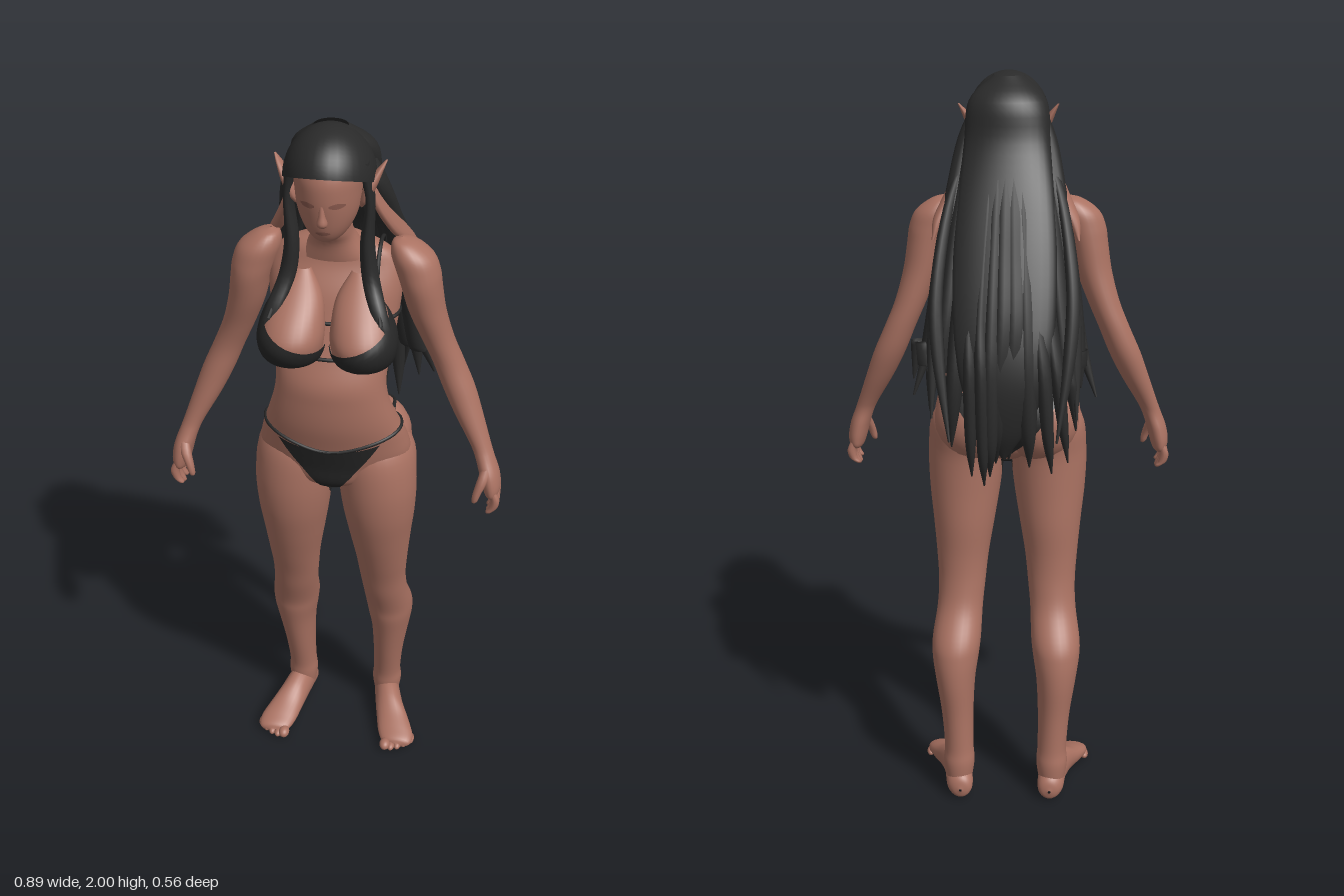
import * as THREE from 'three';

const skin = new THREE.MeshStandardMaterial({ color: 0xaa7262 });
skin.name = 'skin';
const hair = new THREE.MeshStandardMaterial({ color: 0x2a2a2a, side: THREE.DoubleSide });
hair.name = 'hair';
const cloth = new THREE.MeshStandardMaterial({ color: 0x262626, side: THREE.DoubleSide });
cloth.name = 'cloth';
const shade = new THREE.MeshStandardMaterial({ color: 0x8a5a4e, side: THREE.DoubleSide });
shade.name = 'faceDetail';

const V = (x, y, z) => new THREE.Vector3(x, y, z);

function gridGeometry(pos, rows, cols, wrap) {
  const index = [];
  for (let i = 0; i < rows - 1; i++) {
    for (let j = 0; j < (wrap ? cols : cols - 1); j++) {
      const a = i * cols + j, d = i * cols + (j + 1) % cols;
      index.push(a, a + cols, d + cols, a, d + cols, d);
    }
  }
  const g = new THREE.BufferGeometry();
  g.setAttribute('position', new THREE.Float32BufferAttribute(pos, 3));
  g.setIndex(index);
  g.computeVertexNormals();
  return g;
}

// smooth skin over level rings [x, y, z, rx, rz], listed from top to bottom; s mirrors in x
function loft(name, mat, rings, s = 1, sides = 24, steps = 5) {
  const centre = new THREE.CatmullRomCurve3(rings.map(r => V(r[0] * s, r[1], r[2])), false, 'catmullrom');
  const radius = new THREE.CatmullRomCurve3(rings.map(r => V(r[3], r[4], 0)), false, 'catmullrom');
  const n = (rings.length - 1) * steps, pos = [];
  for (let i = 0; i <= n; i++) {
    const c = centre.getPoint(i / n), r = radius.getPoint(i / n);
    for (let j = 0; j < sides; j++) {
      const a = j / sides * Math.PI * 2;
      pos.push(c.x + Math.max(r.x, 0.001) * Math.sin(a), c.y, c.z + Math.max(r.y, 0.001) * Math.cos(a));
    }
  }
  const m = new THREE.Mesh(gridGeometry(pos, n + 1, sides, true), mat);
  m.name = name;
  return m;
}

function tube(name, mat, pts, r, closed = false) {
  const m = new THREE.Mesh(new THREE.TubeGeometry(
    new THREE.CatmullRomCurve3(pts, closed), pts.length * 4, r, 8, closed), mat);
  m.name = name;
  return m;
}

function ball(name, mat, p, size) {
  const m = new THREE.Mesh(new THREE.SphereGeometry(1, 24, 16), mat);
  m.position.set(...p);
  m.scale.set(...size);
  m.name = name;
  m.updateMatrixWorld();
  return m;
}

// point where a line from one point towards another meets the body, lifted a little
const caster = new THREE.Raycaster();
function touch(from, to, bodies, lift) {
  const dir = to.clone().sub(from).normalize();
  caster.set(from, dir);
  const hit = caster.intersectObjects(bodies, false)[0];
  return (hit ? hit.point.clone() : to.clone()).addScaledVector(dir, -lift);
}

// thin sheet laid on the body; line(u, v) gives [from, to]
function drape(name, mat, bodies, line, lift = 0.005, n = 18) {
  const pos = [];
  for (let i = 0; i <= n; i++) for (let j = 0; j <= n; j++) {
    const [from, to] = line(j / n, i / n);
    pos.push(...touch(from, to, bodies, lift).toArray());
  }
  const m = new THREE.Mesh(gridGeometry(pos, n + 1, n + 1, false), mat);
  m.name = name;
  return m;
}

export function createModel() {
  const model = new THREE.Group();
  model.name = 'figure';
  const add = m => { model.add(m); return m; };

  // trunk, neck and head
  const torso = add(loft('torso', skin, [
    [0, 1.705, .055, .003, .003], [0, 1.695, .055, .06, .04], [0, 1.67, .055, .125, .054],
    [0, 1.63, .05, .16, .07], [0, 1.57, .06, .166, .088], [0, 1.5, .07, .16, .1],
    [0, 1.42, .098, .15, .099], [0, 1.35, .13, .14, .092], [0, 1.29, .135, .146, .087],
    [0, 1.22, .114, .167, .1], [0, 1.15, .083, .19, .112], [0, 1.08, .063, .198, .112],
    [0, 1.02, .06, .15, .1], [0, .985, .055, .05, .06], [0, .975, .055, .004, .004]], 1, 40));
  add(loft('neck', skin, [[0, 1.82, .125, .048, .052], [0, 1.74, .105, .047, .056],
    [0, 1.7, .082, .058, .056], [0, 1.65, .065, .09, .06]]));
  const head = add(loft('head', skin, [
    [0, 1.985, .14, .01, .01], [0, 1.96, .14, .06, .08], [0, 1.91, .147, .08, .104],
    [0, 1.86, .152, .078, .102], [0, 1.81, .154, .071, .092], [0, 1.77, .16, .054, .074],
    [0, 1.745, .173, .03, .042], [0, 1.735, .18, .004, .006]], 1, 32));
  add(loft('nose', skin, [[0, 1.86, .246, .005, .005], [0, 1.825, .246, .008, .011],
    [0, 1.802, .244, .013, .016], [0, 1.79, .238, .004, .005]], 1, 12));
  const patch = (name, x, y, w, h) => add(drape(name, shade, [head], (u, v) => {
    const px = x + (u - .5) * w, py = y + (.5 - v) * h * Math.sin(Math.PI * (.1 + .8 * u));
    return [V(px, py, 1), V(px, py, .2)];
  }, .002, 8));
  patch('lips', 0, 1.775, .034, .011);

  const hips = [torso];
  for (const s of [1, -1]) {
    const side = s > 0 ? 'left' : 'right';
    // face and pointed ear
    patch(side + 'Eye', s * .034, 1.847, .036, .014);
    add(loft(side + 'Ear', skin, [[.13, 1.918, .125, .002, .003], [.116, 1.897, .137, .008, .017],
      [.098, 1.865, .147, .014, .026], [.084, 1.83, .15, .012, .02], [.076, 1.81, .152, .003, .004]], s, 14));

    // arm and hand
    add(loft(side + 'Arm', skin, [
      [.16, 1.696, .055, .002, .002], [.168, 1.685, .055, .03, .036], [.187, 1.655, .057, .052, .056],
      [.202, 1.615, .058, .055, .061], [.213, 1.57, .057, .051, .062], [.228, 1.5, .049, .047, .056],
      [.255, 1.42, .036, .042, .048], [.285, 1.35, .03, .041, .044], [.315, 1.28, .035, .042, .044],
      [.345, 1.21, .048, .037, .039], [.38, 1.135, .066, .028, .031], [.395, 1.1, .075, .026, .033],
      [.409, 1.06, .082, .027, .045], [.418, 1.02, .084, .025, .049], [.42, .995, .084, .017, .042],
      [.42, .985, .084, .002, .01]], s));
    for (let i = 0; i < 4; i++) {
      const z = .05 + i * .023, tip = .94 + Math.abs(i - 1.7) * .008;
      add(loft(side + 'Finger', skin, [[.421, 1.02, z, .008, .008], [.432, .99, z, .012, .012],
        [.428, .965, z, .011, .011], [.417, tip, z, .008, .009], [.414, tip - .006, z, .001, .001]], s, 10, 3));
    }
    add(loft(side + 'Thumb', skin, [[.406, 1.09, .095, .012, .014], [.397, 1.055, .122, .014, .016],
      [.385, 1.02, .135, .011, .012], [.379, .995, .138, .008, .009], [.377, .988, .138, .001, .001]], s, 10, 3));

    // leg
    hips.push(add(loft(side + 'Leg', skin, [
      [.1, 1.17, .065, .04, .05], [.104, 1.1, .05, .1, .11], [.113, 1, .06, .105, .11],
      [.117, .9, .055, .099, .105], [.12, .8, .04, .086, .093], [.124, .7, .024, .073, .075],
      [.126, .62, .006, .066, .064], [.131, .55, -.015, .064, .063], [.139, .47, -.055, .068, .074],
      [.142, .42, -.068, .065, .077], [.142, .35, -.08, .055, .071], [.137, .25, -.09, .045, .057],
      [.133, .15, -.103, .041, .046], [.133, .1, -.108, .044, .047], [.133, .04, -.11, .036, .042]], s, 28)));
    hips.push(add(ball(side + 'Buttock', skin, [s * .09, 1.095, .006], [.106, .112, .093])));

    // foot, lofted from toes to heel and laid down
    const foot = add(loft(side + 'Foot', skin, [
      [.19, .108, -.018, .01, .005], [.19, .098, -.02, .042, .017], [.184, .065, -.026, .053, .025],
      [.17, .02, -.036, .05, .034], [.152, -.03, -.05, .043, .048], [.137, -.09, -.055, .039, .054],
      [.13, -.14, -.04, .037, .039], [.127, -.16, -.034, .025, .028], [.127, -.168, -.032, .004, .004]], s));
    foot.rotation.x = Math.PI / 2;
    for (let i = 0; i < 5; i++) {
      const r = i ? .0115 : .016;
      add(ball(side + 'Toe', skin, [s * (.157 + i * .0185), r + .002, .108 - i * i * .0025], [r, r, .021]));
    }

    // bust and top
    const bust = add(loft(side + 'Breast', skin, [
      [.07, 1.63, .12, .02, .015], [.076, 1.575, .15, .058, .05], [.084, 1.52, .175, .076, .08],
      [.088, 1.475, .187, .08, .09], [.088, 1.43, .18, .07, .077], [.088, 1.408, .165, .042, .045],
      [.088, 1.4, .16, .004, .004]], s, 28));
    const c = V(s * .088, 1.475, .165);
    add(drape(side + 'Cup', cloth, [bust], (u, v) => {
      const az = s * (-1.3 + 2.85 * u), el = -1.35 + v * (1.2 + 1.3 * u * u);
      const d = V(Math.sin(az) * Math.cos(el), Math.sin(el), Math.cos(az) * Math.cos(el));
      return [c.clone().addScaledVector(d, .5), c];
    }));
    add(tube(side + 'Strap', cloth, [V(s * .135, 1.54, .225), V(s * .12, 1.59, .175), V(s * .112, 1.64, .12),
      V(s * .112, 1.684, .07), V(s * .112, 1.672, .01), V(s * .11, 1.6, -.018), V(s * .105, 1.505, -.009)], .005));

    // lock falling over the chest, and the pale underside of the side hair
    add(loft(side + 'FrontLock', hair, [[.082, 1.93, .17, .014, .028], [.096, 1.83, .15, .011, .03],
      [.09, 1.72, .148, .017, .029], [.1, 1.63, .155, .021, .023], [.125, 1.56, .195, .021, .018],
      [.143, 1.5, .207, .018, .016], [.152, 1.43, .19, .002, .002]], s, 14));
    add(loft(side + 'HairUnderside', skin, [[.088, 1.86, .11, .006, .012], [.108, 1.79, .075, .014, .04],
      [.14, 1.71, .02, .018, .045], [.17, 1.65, -.03, .016, .03], [.185, 1.6, -.07, .003, .004]], s, 14));
  }

  // cords around chest and hips
  const cord = (name, bodies, height, z) => {
    const pts = [];
    for (let i = 0; i < 32; i++) {
      const a = i / 32 * Math.PI * 2, y = height(a);
      pts.push(touch(V(Math.sin(a), y, z + Math.cos(a)), V(0, y, z), bodies, .001));
    }
    add(tube(name, cloth, pts, .005, true));
  };
  cord('upperBand', [torso], () => 1.505, .07);
  cord('lowerBand', [torso], () => 1.42, .09);
  cord('hipCord', hips, a => (Math.cos(a) > 0 ? 1.143 : 1.17) + (Math.cos(a) > 0 ? .05 : .023) * Math.sin(a) ** 2, .07);

  // brief: front, back and the strip between
  const triangle = (name, z, top, low, wide, narrow, bend) => add(drape(name, cloth, hips, (u, v) => {
    const x = (u * 2 - 1) * (narrow + (wide - narrow) * Math.pow(1 - v, bend));
    const y = low + (top + 1.1 * x * x - low) * (1 - v);
    return [V(x, y, z), V(x, y, .06)];
  }));
  triangle('briefFront', 1, 1.146, .995, .132, .018, 1.1);
  triangle('briefBack', -1, 1.168, 1.015, .155, .016, 1);
  add(drape('briefStrip', cloth, hips, (u, v) => {
    const x = (u - .5) * .03, z = .14 - v * .16;
    return [V(x, .5, z), V(x, 1, z)];
  }));

  // hair: cap, main fall and separate strands
  const cap = add(new THREE.Mesh(new THREE.SphereGeometry(1, 36, 18, 0, Math.PI * 2, 0, Math.PI * .52), hair));
  cap.name = 'hairCap';
  cap.scale.set(.108, .121, .139);
  cap.position.set(0, 1.876, .139);
  cap.rotation.x = -.38;
  add(loft('hairFall', hair, [
    [0, 1.99, .12, .04, .04], [0, 1.93, .075, .1, .07], [0, 1.83, .03, .11, .05],
    [0, 1.7, -.05, .122, .036], [0, 1.58, -.11, .13, .035], [0, 1.45, -.168, .13, .034],
    [0, 1.34, -.207, .122, .034], [0, 1.24, -.228, .1, .028], [0, 1.14, -.225, .055, .02],
    [0, 1.06, -.21, .003, .003]], 1, 32));
  for (let k = -6; k <= 6; k++) {
    const u = k / 6, q = u * u, j = Math.sin(k * 5.3 + 1), w = .024 + .006 * j;
    const tip = 1.01 + .2 * q + .045 * j;
    add(loft('hairStrand', hair, [
      [u * .06, 1.95, .085, .015, .015], [u * .098, 1.84, .03 + .04 * q, w, .035],
      [u * .128, 1.7, -.055 + .04 * q, w, .034], [u * .152, 1.57, -.12 + .055 * q, w, .034],
      [u * .172, 1.42, -.19 + .08 * q, w, .034], [u * .187 + .01 * j, 1.29, -.235 + .095 * q + .015 * j, w, .028],
      [u * .2 + .018 * j, tip + .1, -.248 + .1 * q + .018 * j, w * .75, .018],
      [u * .21 + .025 * j, tip, -.22 + .06 * q + .02 * j, .002, .002]], 1, 12));
  }
  // loose wisps at the sides
  for (const s of [1, -1]) for (let i = 0; i < 3; i++) {
    add(loft('hairWisp', hair, [[.1, 1.82, .05, .01, .015], [.145, 1.68, -.03 - i * .01, .014, .018],
      [.17, 1.5, -.09 - i * .03, .017, .02], [.195 - i * .015, 1.34, -.11 - i * .05, .017, .018],
      [.235 - i * .05, 1.21 - i * .04, -.14 - i * .068, .003, .003]], s, 10));
  }
  return model;
}
